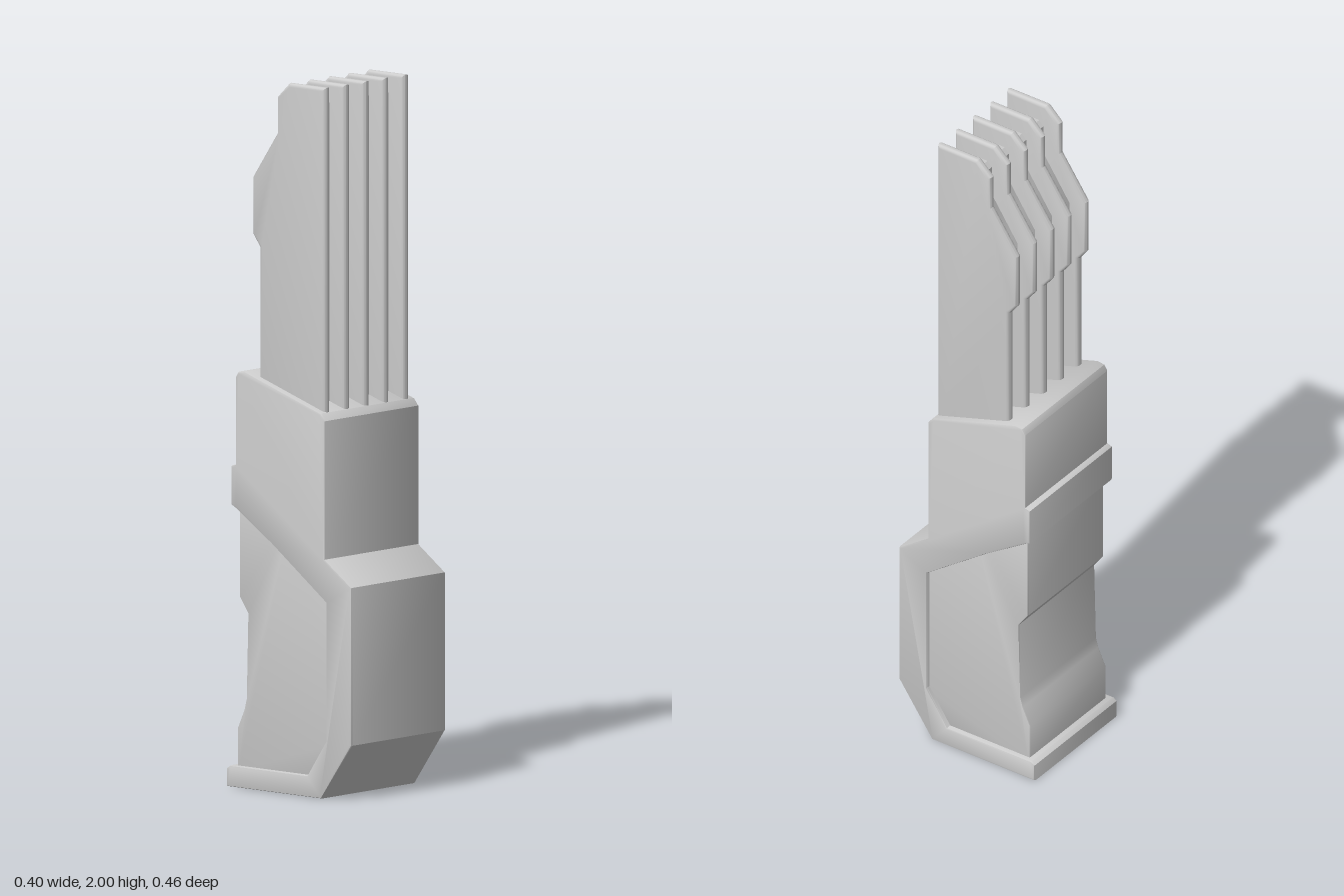
import * as THREE from 'three';
import { toCreasedNormals } from 'three/addons/utils/BufferGeometryUtils.js';

const material = new THREE.MeshStandardMaterial({ color: 0xcccccc });

// Extrudes a side profile of [z, y] points across x, keeping its outline under the bevel
function slab(name, points, width, bevel, segments = 2, x = 0) {
  const shape = new THREE.Shape(points.map(([z, y]) => new THREE.Vector2(z, y)));
  const depth = width - 2 * bevel;
  const geometry = new THREE.ExtrudeGeometry(shape, {
    depth,
    bevelEnabled: true,
    bevelSize: bevel,
    bevelThickness: bevel,
    bevelOffset: -bevel,
    bevelSegments: segments,
  });
  geometry.translate(0, 0, -depth / 2);
  geometry.rotateY(-Math.PI / 2);
  const mesh = new THREE.Mesh(toCreasedNormals(geometry, 0.6), material);
  mesh.name = name;
  mesh.position.x = x;
  return mesh;
}

export function createModel() {
  const model = new THREE.Group();
  model.name = 'finnedCartridge';

  // Outer shell: base lip, front bulge, upper sleeve with sloped top and rear rib
  model.add(slab('outerShell', [
    [-0.232, 0], [0.12, 0], [0.233, 0.16], [0.233, 0.605], [0.134, 0.675],
    [0.134, 1.065], [0.118, 1.085], [-0.165, 1.175], [-0.19, 1.172], [-0.2, 1.155],
    [-0.2, 0.91], [-0.216, 0.905], [-0.216, 0.795], [-0.2, 0.787], [-0.065, 0.7],
    [0.139, 0.553], [0.139, 0.165], [0.068, 0.06], [-0.22, 0.06], [-0.232, 0.052],
  ], 0.397, 0.006));

  // Inset body with a waisted back
  model.add(slab('innerBody', [
    [-0.205, 0.04], [0.1, 0.04], [0.17, 0.16], [0.17, 0.58], [0, 0.8],
    [-0.197, 0.8], [-0.197, 0.535], [-0.166, 0.492], [-0.172, 0.25],
    [-0.18, 0.22], [-0.205, 0.165],
  ], 0.365, 0.004));

  // Core block between the fins
  model.add(slab('finCore', [
    [0.06, 1], [0.06, 1.945], [0.003, 1.945], [-0.012, 1.93], [-0.012, 1.838],
    [-0.1, 1.707], [-0.1, 1.58], [-0.075, 1.55], [-0.075, 1],
  ].reverse(), 0.326, 0.002, 1));

  // Five round-edged fins
  const fins = new THREE.Group();
  fins.name = 'fins';
  const finProfile = [
    [0.117, 1], [0.117, 2], [-0.02, 2], [-0.065, 1.957], [-0.065, 1.855],
    [-0.155, 1.725], [-0.155, 1.56], [-0.13, 1.527], [-0.13, 1],
  ].reverse();
  for (let i = 0; i < 5; i++) {
    fins.add(slab(`fin${i + 1}`, finProfile, 0.024, 0.011, 4, (i - 2) * 0.0825));
  }
  model.add(fins);
  return model;
}
